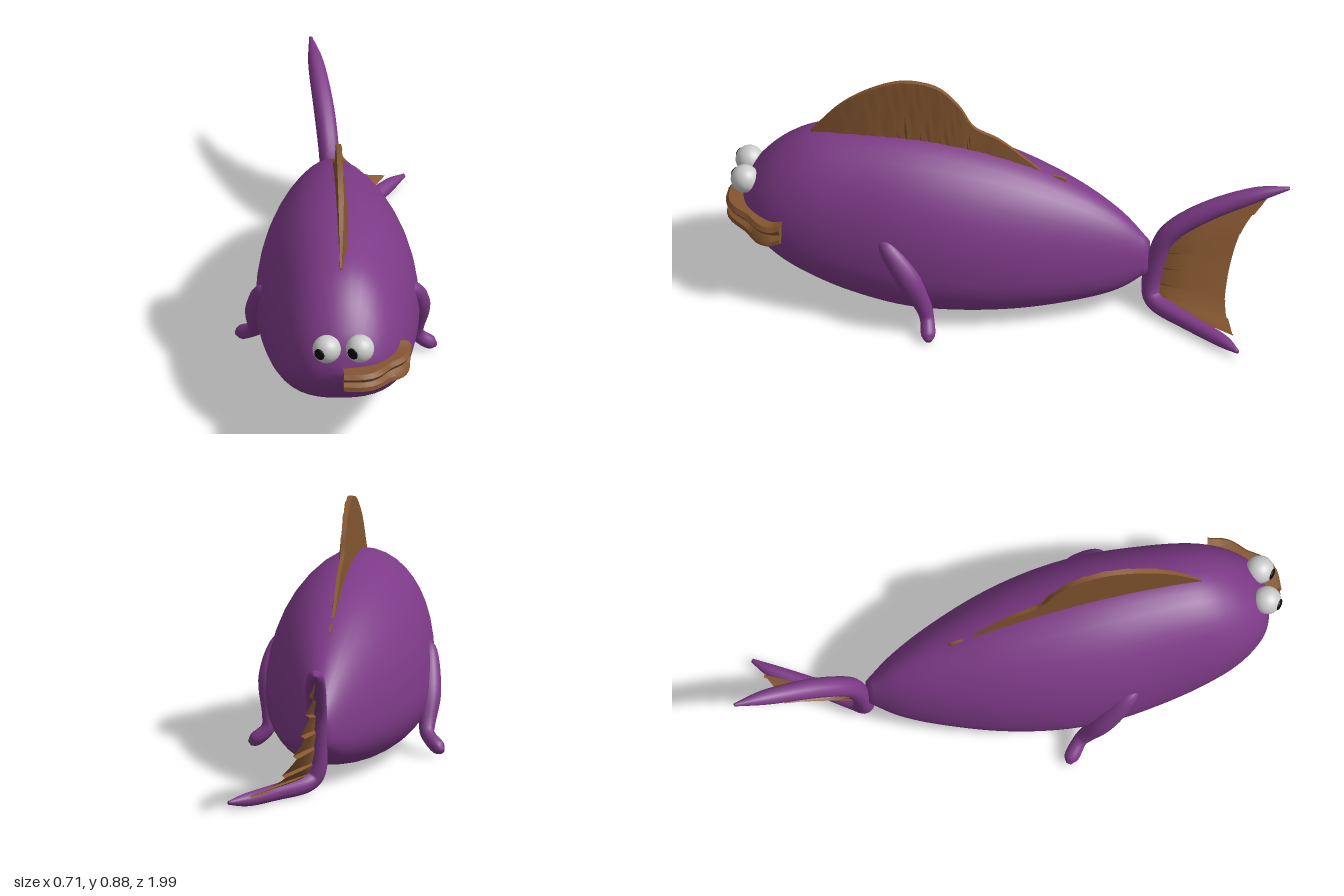
import * as THREE from 'three';
import { toCreasedNormals } from 'three/addons/utils/BufferGeometryUtils.js';
import { ParametricGeometry } from 'three/addons/geometries/ParametricGeometry.js';

const V = (x, y, z) => new THREE.Vector3(x, y, z);
const curve = (pts) => new THREE.CatmullRomCurve3(pts.map((p) => V(...p)), false, 'catmullrom', 0.5);
const lerp = THREE.MathUtils.lerp;

// Skin closed rings of equal length (clockwise about the direction of travel) and cap both ends
function loft(rings) {
  const n = rings[0].length, last = rings.length - 1, pts = rings.flat(), index = [];
  const id = (i, j) => i * n + (j % n);
  for (let i = 0; i < last; i++)
    for (let j = 0; j < n; j++)
      index.push(id(i, j), id(i + 1, j), id(i, j + 1), id(i, j + 1), id(i + 1, j), id(i + 1, j + 1));
  for (const end of [0, last]) {
    const c = pts.length;
    pts.push(rings[end].reduce((a, p) => a.add(p), V(0, 0, 0)).divideScalar(n));
    for (let j = 0; j < n; j++)
      index.push(c, ...(end ? [id(end, j + 1), id(end, j)] : [id(end, j), id(end, j + 1)]));
  }
  const g = new THREE.BufferGeometry().setFromPoints(pts);
  g.setIndex(index);
  g.computeVertexNormals();
  return g;
}

// Round limb; each path point is x, y, z, radius
function limb(path, steps = 32, sides = 14) {
  const c = curve(path), r = curve(path.map((p) => [p[3], 0, 0]));
  const rings = [];
  let normal = V(0, 0, 1);
  for (let i = 0; i <= steps; i++) {
    const t = i / steps, tangent = c.getTangent(t).normalize();
    normal = normal.clone().addScaledVector(tangent, -normal.dot(tangent)).normalize();
    const bi = V(0, 0, 0).crossVectors(tangent, normal);
    const p = c.getPoint(t), rad = r.getPoint(t).x;
    rings.push(Array.from({ length: sides }, (_, j) => {
      const a = (-j / sides) * Math.PI * 2;
      return p.clone().addScaledVector(normal, rad * Math.cos(a)).addScaledVector(bi, rad * Math.sin(a));
    }));
  }
  return loft(rings);
}

// Body stations: z, top, bottom, half width
const STATIONS = [
  [0.94, 0.37, 0.345, 0.02], [0.92, 0.43, 0.29, 0.1], [0.88, 0.495, 0.235, 0.155], [0.8, 0.575, 0.165, 0.205],
  [0.69, 0.635, 0.105, 0.24], [0.53, 0.66, 0.048, 0.268], [0.33, 0.66, 0.012, 0.287], [0.13, 0.63, 0.01, 0.275],
  [-0.07, 0.572, 0.024, 0.232], [-0.26, 0.485, 0.055, 0.165], [-0.4, 0.39, 0.095, 0.1], [-0.5, 0.285, 0.16, 0.035],
];

function bodyGeometry() {
  const spine = curve(STATIONS), width = curve(STATIONS.map((s) => [s[3], 0, 0]));
  const rings = [];
  for (let i = 0; i <= 66; i++) {
    const { x: z, y: top, z: bottom } = spine.getPoint(i / 66), w = width.getPoint(i / 66).x;
    const mid = lerp(bottom, top, 0.35);
    rings.push(Array.from({ length: 40 }, (_, j) => {
      const a = (j / 40) * Math.PI * 2, c = Math.cos(a), s = Math.sin(a);
      // egg section: pointed above, squarer below
      const x = s < 0 ? Math.sign(c) * Math.abs(c) ** 0.8 : c;
      return V(x * w, s > 0 ? mid + s * (top - mid) : mid - Math.abs(s) ** 0.9 * (mid - bottom), z);
    }));
  }
  return loft(rings);
}

// Dorsal fin stations: z, top, base, thickness
function dorsalGeometry() {
  const st = [
    [0.7, 0.64, 0.59, 0.006], [0.6, 0.76, 0.61, 0.028], [0.5, 0.835, 0.62, 0.038], [0.4, 0.88, 0.62, 0.038],
    [0.32, 0.887, 0.62, 0.036], [0.24, 0.865, 0.61, 0.032], [0.17, 0.795, 0.6, 0.03], [0.12, 0.715, 0.59, 0.027],
    [0.03, 0.67, 0.56, 0.023], [-0.06, 0.6, 0.53, 0.02], [-0.13, 0.545, 0.5, 0.016], [-0.2, 0.525, 0.47, 0.01],
    [-0.212, 0.49, 0.46, 0.005],
  ];
  const c = curve(st), th = curve(st.map((s) => [s[3], 0, 0])), rings = [];
  const levels = [0, 0.25, 0.5, 0.75, 1];
  for (let i = 0; i <= 84; i++) {
    const { x: z, y: top, z: base } = c.getPoint(i / 84), t = th.getPoint(i / 84).x;
    const right = levels.map((h) => {
      // overlapping rays that sweep backwards
      const ray = (((z + 0.35 * h * (top - base)) * 13) % 1 + 1) % 1;
      return V(t * (1 - 0.55 * h) * (0.8 + 0.2 * ray), lerp(base, top, h), z);
    });
    const left = levels.map((h) => V(-0.004, lerp(base, top, h), z)).reverse();
    rings.push([...right, ...left]);
  }
  return loft(rings);
}

// Webbing between the two tail lobes
function webGeometry() {
  const root = curve([[-0.01, 0.39, -0.62], [0, 0.3, -0.54], [0, 0.2, -0.52], [0.01, 0.1, -0.51], [0.05, 0.05, -0.55]]);
  const edge = curve([[-0.04, 0.49, -0.92], [-0.01, 0.36, -0.83], [0.03, 0.22, -0.79], [0.1, 0.1, -0.785], [0.2, 0.05, -0.83]]);
  return new ParametricGeometry((u, v, out) => {
    out.copy(root.getPoint(u)).lerp(edge.getPoint(u), v);
    const ray = (u * 7) % 1;
    out.x += 0.02 * (ray - 0.5) * Math.min(1, v * 2);
  }, 56, 8);
}

// Crooked lips, swept round one side of the snout; path is x, z, then drop of the lower lip
function mouthGeometry() {
  const path = curve([[0, 0.945, 0], [0.085, 0.94, 0.003], [0.14, 0.875, 0.014], [0.19, 0.825, 0.022], [0.2, 0.77, 0]]);
  const profile = [
    [-0.02, 0.30], [0.025, 0.297], [0.042, 0.308], [0.04, 0.324], [0.018, 0.334],
    [0.036, 0.342], [0.046, 0.358], [0.036, 0.374], [-0.02, 0.374],
  ];
  const rings = [];
  for (let i = 0; i <= 20; i++) {
    const t = i / 20, p = path.getPoint(t), d = path.getTangent(t);
    const len = Math.hypot(d.x, d.y), ox = -d.y / len, oz = d.x / len;
    const flare = t > 0.85 ? (t - 0.85) * 0.06 : 0;
    rings.push(profile.map(([o, y]) =>
      V(p.x + ox * o, y - (y < 0.33 ? p.z : p.z * 0.35) + (y > 0.35 ? flare : 0), p.y + oz * o)));
  }
  return loft(rings);
}

export function createModel() {
  const fish = new THREE.Group();
  fish.name = 'fish';
  const mat = (color, extra = {}) => new THREE.MeshStandardMaterial({ color, ...extra });
  const purple = mat(0x7d3a87), brown = mat(0x85562f), white = mat(0xcccccc), black = mat(0x080808);
  const add = (name, geometry, material, parent = fish) => {
    const m = new THREE.Mesh(geometry, material);
    m.name = name;
    parent.add(m);
    return m;
  };

  add('body', bodyGeometry(), purple);
  add('dorsalFin', toCreasedNormals(dorsalGeometry(), 0.5), brown);
  add('mouth', toCreasedNormals(mouthGeometry(), 0.7), brown);

  // Tail: one bent limb forms the upper and lower lobes
  add('tailLobes', limb([
    [-0.055, 0.527, -0.992, 0.006], [-0.04, 0.495, -0.87, 0.028], [-0.018, 0.42, -0.7, 0.036],
    [-0.004, 0.32, -0.57, 0.036], [0, 0.2, -0.525, 0.034], [0.005, 0.09, -0.51, 0.036],
    [0.04, 0.045, -0.54, 0.034], [0.13, 0.037, -0.67, 0.029], [0.21, 0.034, -0.79, 0.024], [0.268, 0.034, -0.855, 0.007],
  ], 54), purple);
  add('tailWeb', toCreasedNormals(webGeometry(), 0.4), mat(0x85562f, { side: THREE.DoubleSide }));

  // Side fins, bent like little arms with feet turned outward
  add('leftFin', limb([
    [0.245, 0.375, 0.42, 0.012], [0.268, 0.335, 0.38, 0.034], [0.282, 0.235, 0.31, 0.044],
    [0.276, 0.12, 0.26, 0.03], [0.284, 0.07, 0.245, 0.025], [0.325, 0.033, 0.235, 0.025], [0.346, 0.018, 0.23, 0.01],
  ]), purple);
  add('rightFin', limb([
    [-0.245, 0.37, 0.42, 0.012], [-0.268, 0.33, 0.37, 0.034], [-0.282, 0.21, 0.29, 0.043],
    [-0.283, 0.11, 0.23, 0.03], [-0.29, 0.075, 0.2, 0.025], [-0.33, 0.04, 0.16, 0.026], [-0.349, 0.026, 0.145, 0.01],
  ]), purple);

  // Eyes glance to one side
  for (const [name, x] of [['rightEye', -0.057], ['leftEye', 0.06]]) {
    const eye = new THREE.Group();
    eye.name = name;
    eye.position.set(x, 0.447, 0.925);
    fish.add(eye);
    add('eyeball', new THREE.SphereGeometry(0.05, 28, 20), white, eye);
    const pupil = add('pupil', new THREE.SphereGeometry(0.021, 18, 12), black, eye);
    pupil.position.set(-0.027, 0.002, 0.038);
    pupil.scale.z = 0.35;
    pupil.rotation.y = Math.atan2(-0.027, 0.038);
  }
  return fish;
}
